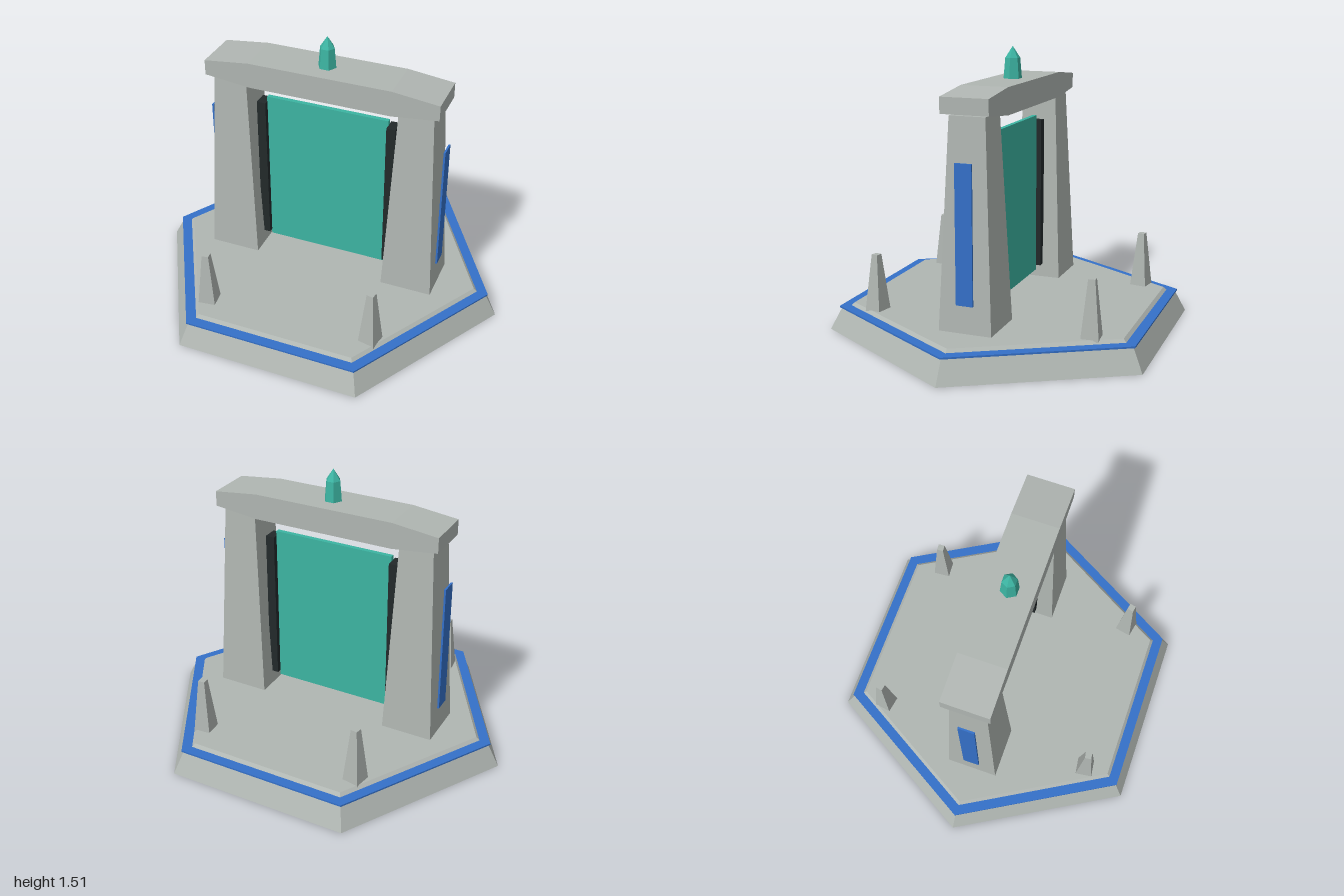
import * as THREE from 'three';

const material = (name, color) => {
  const m = new THREE.MeshStandardMaterial({ color });
  m.name = name;
  return m;
};

// Faceted normals for hard-edged stone and crystal
function faceted(geometry) {
  const g = geometry.index ? geometry.toNonIndexed() : geometry;
  g.computeVertexNormals();
  return g;
}

// Hexagonal prism from y0 to y1 with corners on the x axis
function hexPrism(rBottom, rTop, y0, y1) {
  const g = new THREE.CylinderGeometry(rTop, rBottom, y1 - y0, 6, 1, false, Math.PI / 6);
  g.translate(0, (y0 + y1) / 2, 0);
  return faceted(g);
}

// Box from y0 to y1 whose top has its own half sizes and x offset
function taperedBox(bottom, top, y0, y1, shiftX = 0) {
  const g = new THREE.BoxGeometry(2, 1, 2);
  const p = g.attributes.position;
  for (let i = 0; i < p.count; i++) {
    const isTop = p.getY(i) > 0;
    const [hx, hz] = isTop ? top : bottom;
    p.setXYZ(i, p.getX(i) * hx + (isTop ? shiftX : 0), isTop ? y1 : y0, p.getZ(i) * hz);
  }
  return faceted(g);
}

export function createModel() {
  const stone = material('stone', 0xb0b6b2);
  const blue = material('blue inlay', 0x3470c8);
  const teal = material('teal glow', 0x3cb4a2);
  const dark = material('dark metal', 0x22292a);

  const model = new THREE.Group();
  model.name = 'stoneGate';
  const add = (name, geometry, mat, x = 0, y = 0, z = 0) => {
    const mesh = new THREE.Mesh(geometry, mat);
    mesh.name = name;
    mesh.position.set(x, y, z);
    model.add(mesh);
    return mesh;
  };

  // Stepped hexagonal base
  add('base', hexPrism(1, 0.935, 0, 0.12), stone);
  add('baseInlay', hexPrism(0.947, 0.947, 0.12, 0.129), blue);
  add('floorSlab', hexPrism(0.89, 0.867, 0.125, 0.145), stone);

  // Pillars, side panels and the frame strips of the portal
  for (const [side, s] of [['left', 1], ['right', -1]]) {
    add(side + 'Pillar', taperedBox([0.142, 0.142], [0.092, 0.096], 0.14, 1.225, -s * 0.003), stone, s * 0.516);
    add(side + 'Panel', new THREE.BoxGeometry(0.01, 0.715, 0.09), blue, s * 0.656, 0.647, 0);
    add(side + 'PortalFrame', new THREE.BoxGeometry(0.05, 0.855, 0.08), dark, s * 0.366, 0.648, 0);
  }

  // Glowing portal sheet
  add('portal', new THREE.BoxGeometry(0.684, 0.91, 0.025), teal, 0, 0.648, 0);

  // Lintel with bevelled ends
  const outline = [[-0.64, 1.235], [-0.39, 1.207], [0.39, 1.207], [0.64, 1.235],
    [0.64, 1.318], [0.39, 1.347], [-0.39, 1.347], [-0.64, 1.318]];
  const lintel = new THREE.ExtrudeGeometry(
    new THREE.Shape(outline.map(([x, y]) => new THREE.Vector2(x, y))),
    { depth: 0.256, bevelEnabled: false });
  add('lintel', faceted(lintel), stone, 0, 0, -0.128);

  // Crystal on top of the lintel
  add('crystalBody', hexPrism(0.05, 0.04, 1.34, 1.455), teal);
  add('crystalTip', hexPrism(0.04, 0.001, 1.455, 1.515), teal);

  // Four marker stones, each turned a little
  const markers = [[-0.45, -0.615, -0.17], [0.467, -0.597, 0.07],
    [-0.44, 0.615, 0.13], [0.475, 0.585, -0.2]];
  const markerShape = taperedBox([0.047, 0.047], [0.018, 0.018], 0.135, 0.445);
  for (const [x, z, turn] of markers) {
    add('markerStone', markerShape, stone, x, 0, z).rotation.y = turn;
  }

  return model;
}
